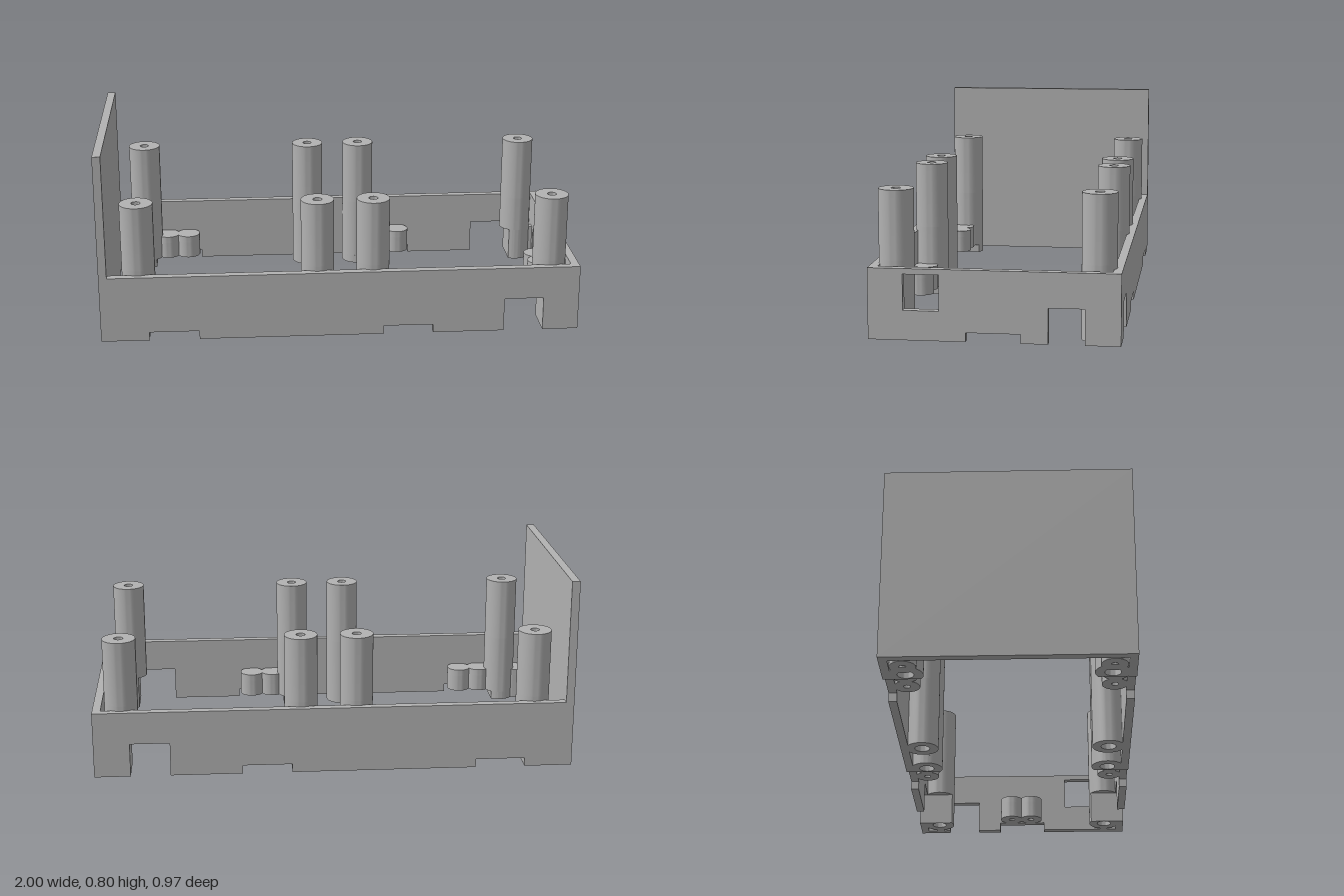
import * as THREE from 'three';
import { toCreasedNormals } from 'three/addons/utils/BufferGeometryUtils.js';

const HALF_X = 1, HALF_Z = 0.487, WALL = 0.034, HEIGHT = 0.28;

// Wall outline with rectangular notches [from, to, height] along its lower edge
function wallShape(a, b, notches) {
  const s = new THREE.Shape();
  s.moveTo(a, 0);
  for (const [from, to, h] of notches) {
    s.lineTo(from, 0); s.lineTo(from, h); s.lineTo(to, h); s.lineTo(to, 0);
  }
  s.lineTo(b, 0); s.lineTo(b, HEIGHT); s.lineTo(a, HEIGHT);
  s.closePath();
  return s;
}

// Disc outline, optionally cut flat where x lies outside [min, max], with an optional bore
function discShape(r, bore, min = -r, max = r) {
  const a0 = Math.acos(max / r), a1 = Math.acos(min / r), n = 24, upper = [];
  for (let i = 0; i <= n; i++) {
    const a = a0 + (a1 - a0) * i / n;
    upper.push(new THREE.Vector2(r * Math.cos(a), r * Math.sin(a)));
  }
  const lower = upper.slice().reverse().map(p => new THREE.Vector2(p.x, -p.y));
  // the two ends coincide when the disc is not cut
  const pts = upper.concat(lower).filter((p, i, all) => p.distanceTo(all[(i + 1) % all.length]) > 1e-5);
  const s = new THREE.Shape(pts);
  if (bore) s.holes.push(new THREE.Path().absarc(0, 0, bore, 0, Math.PI * 2, true));
  return s;
}

// Upright prism between two heights
function upright(shape, y0, y1) {
  const g = new THREE.ExtrudeGeometry(shape, { depth: y1 - y0, bevelEnabled: false, curveSegments: 16 });
  g.rotateX(-Math.PI / 2);
  g.translate(0, y0, 0);
  return toCreasedNormals(g, 0.6);
}

export function createModel() {
  const root = new THREE.Group();
  root.name = 'enclosureFrame';
  const grey = new THREE.MeshStandardMaterial({ color: 0xb2b2b2 });
  grey.name = 'grey plastic';

  const add = (name, geo, x = 0, y = 0, z = 0, parent = root) => {
    const m = new THREE.Mesh(geo, grey);
    m.name = name;
    m.position.set(x, y, z);
    parent.add(m);
    return m;
  };

  // Tall closed end panel
  add('tallEndPanel', new THREE.BoxGeometry(WALL, 0.803, HALF_Z * 2), -HALF_X + WALL / 2, 0.4015, 0);

  // Long side walls
  const side = new THREE.ExtrudeGeometry(
    wallShape(-HALF_X + WALL, HALF_X, [[-0.8, -0.593, 0.036], [0.178, 0.385, 0.036], [0.685, 0.85, 0.143]]),
    { depth: WALL, bevelEnabled: false });
  add('frontWall', side, 0, 0, HALF_Z - WALL);
  add('backWall', side, 0, 0, -HALF_Z);

  // Low end wall with a window and two notches
  const inner = HALF_Z - WALL;
  const endShape = wallShape(-inner, inner, [[-0.107, 0.105, 0.036], [0.21, 0.35, 0.141]]);
  endShape.holes.push(new THREE.Path([
    new THREE.Vector2(-0.35, 0.117), new THREE.Vector2(-0.35, 0.258),
    new THREE.Vector2(-0.21, 0.258), new THREE.Vector2(-0.21, 0.117)]));
  const end = new THREE.ExtrudeGeometry(endShape, { depth: WALL, bevelEnabled: false });
  end.rotateY(Math.PI / 2);
  add('lowEndWall', end, HALF_X - WALL);

  // Screw posts: cut foot, wide lower bore, narrow upper bore
  const R = 0.069, WIDE = 0.032, NARROW = 0.019, TOP = 0.573, SHOULDER = 0.3;
  const posts = [
    { x: -0.84, max: 0.04, cut: 0.036 },
    { x: -0.095 },
    { x: 0.137, max: 0.041, cut: 0.036 },
    { x: 0.883, min: -0.033, cut: 0.143 },
  ];
  for (const { x, min = -R, max = R, cut = 0 } of posts) {
    const parts = [
      ['postBody', upright(discShape(R, WIDE), cut, SHOULDER)],
      ['postTop', upright(discShape(R, NARROW), SHOULDER, TOP)],
    ];
    if (cut) parts.push(['postFoot', upright(discShape(R, WIDE, min, max), 0, cut)]);
    for (const z of [-0.395, 0.395]) {
      const post = new THREE.Group();
      post.name = 'screwPost';
      post.position.set(x, 0, z);
      for (const [name, geo] of parts) add(name, geo, 0, 0, 0, post);
      root.add(post);
    }
  }

  // Short ribs tying the outermost posts to the low end wall
  for (const z of [-0.395, 0.395])
    add('postRib', new THREE.BoxGeometry(0.03, HEIGHT / 2, 0.035), 0.956, HEIGHT / 4, z);

  // Short pegs with blind holes underneath
  const peg = (x, z, y0) => {
    const g = new THREE.Group();
    g.name = 'peg';
    g.position.set(x, 0, z);
    add('pegBody', upright(discShape(0.052, 0.014), y0, 0.11), 0, 0, 0, g);
    add('pegCap', upright(discShape(0.052, 0), 0.11, 0.138), 0, 0, 0, g);
    root.add(g);
  };
  for (const z of [-0.408, 0.408]) {
    peg(-0.91, z * 0.98, 0);
    for (const x of [-0.745, -0.652, 0.23, 0.325]) peg(x, z, 0.036);
  }
  for (const z of [-0.048, 0.044]) peg(0.918, z, 0.036);

  return root;
}
